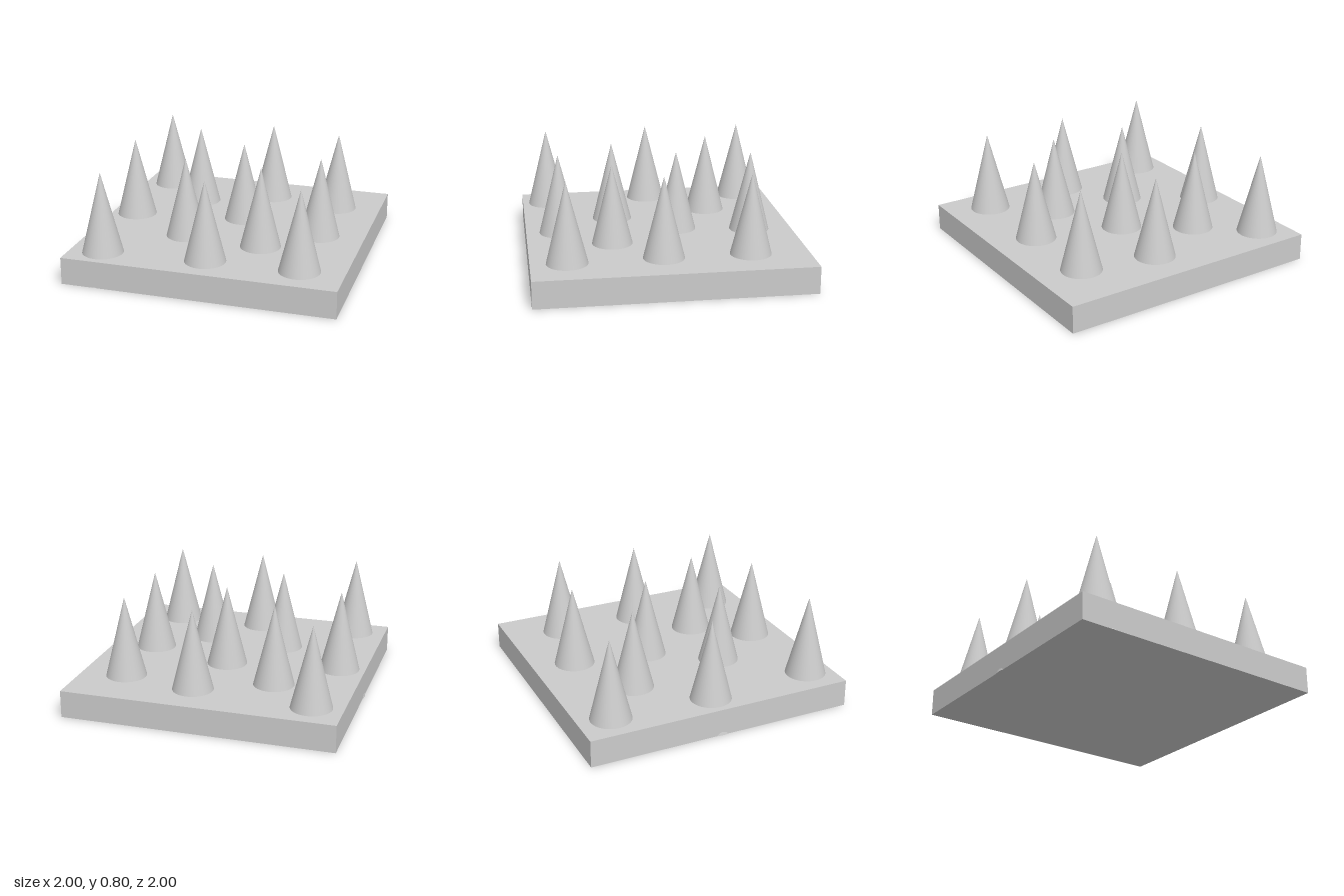
import * as THREE from 'three';

const BASE_SIZE = 1.994, BASE_HEIGHT = 0.2, BASE_X = 0.003;
const SPIKE_RADIUS = 0.199, SPIKE_HEIGHT = 0.795;

// x, z of each spike, from back to front
const SPIKES = [
  [-0.766, -0.755], [0.115, -0.68], [0.664, -0.573], [-0.413, -0.432],
  [0.03, -0.132], [-0.801, -0.007], [0.664, 0.052], [-0.282, 0.322],
  [0.303, 0.38], [0.68, 0.735], [0.002, 0.748], [-0.75, 0.8],
];

export function createModel() {
  const model = new THREE.Group();
  model.name = 'spikeTrap';
  const material = new THREE.MeshStandardMaterial({ color: 0xcccccc });

  // square slab
  const base = new THREE.Mesh(new THREE.BoxGeometry(BASE_SIZE, BASE_HEIGHT, BASE_SIZE), material);
  base.name = 'base';
  base.position.set(BASE_X, BASE_HEIGHT / 2, 0);
  model.add(base);

  // spikes run through the slab down to the ground
  const spikeGeometry = new THREE.ConeGeometry(SPIKE_RADIUS, SPIKE_HEIGHT, 48);
  const spikes = new THREE.Group();
  spikes.name = 'spikes';
  for (const [x, z] of SPIKES) {
    const spike = new THREE.Mesh(spikeGeometry, material);
    spike.name = 'spike';
    spike.position.set(x, SPIKE_HEIGHT / 2, z);
    spikes.add(spike);
  }
  model.add(spikes);
  return model;
}
